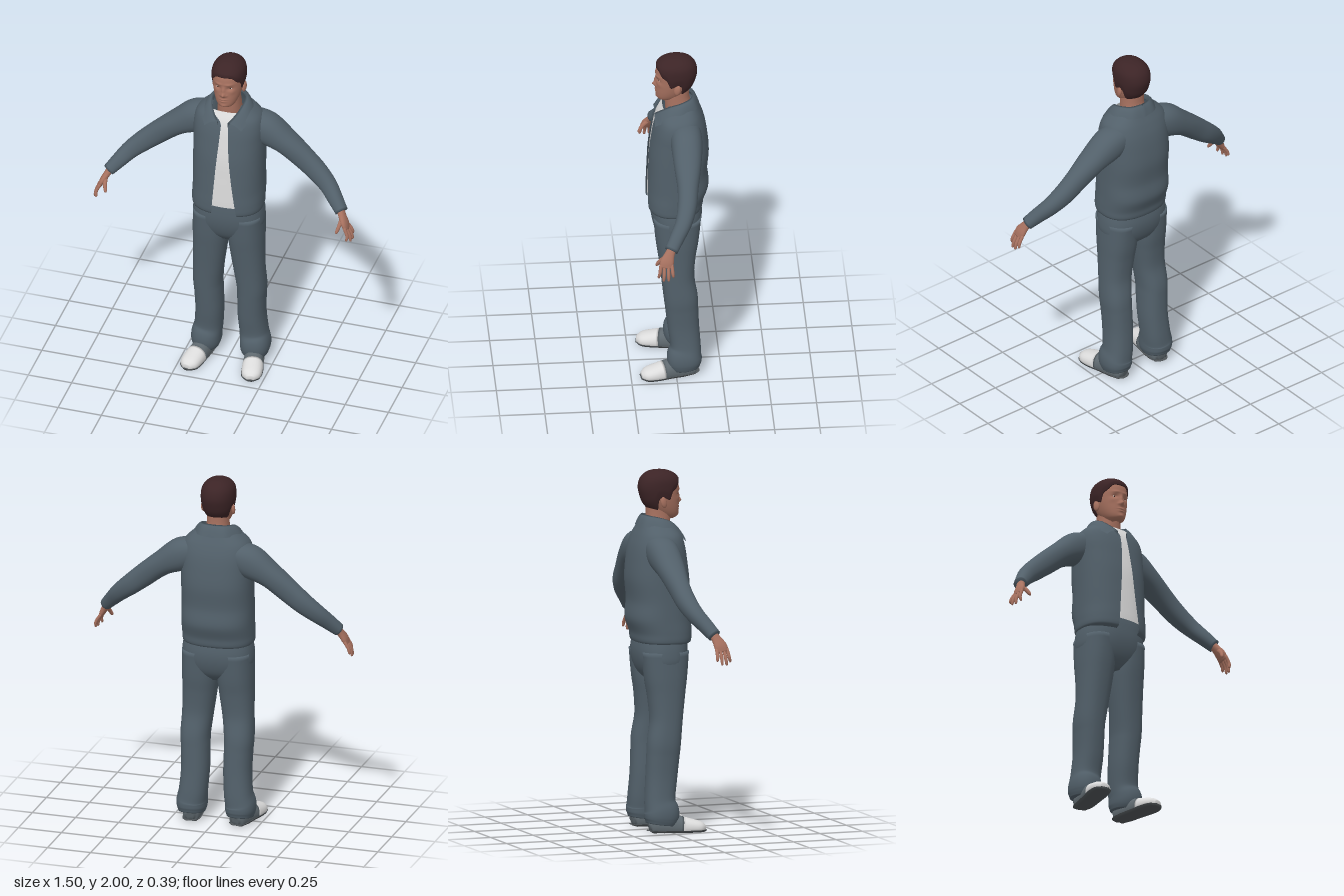
import * as THREE from 'three';

const mat = (name, color, side = THREE.FrontSide) => {
  const m = new THREE.MeshStandardMaterial({ color, side });
  m.name = name;
  return m;
};
const cloth = mat('slate cloth', 0x52606a, THREE.DoubleSide);
const white = mat('white fabric', 0xdcdcdc, THREE.DoubleSide);
const skin = mat('skin', 0xa87260);
const hairMat = mat('dark brown hair', 0x3c2426, THREE.DoubleSide);
const shoeGrey = mat('shoe grey', 0x606a70);
const soleMat = mat('sole grey', 0x505558);
const irisMat = mat('iris', 0x3a2a24);

// Smooth interpolation of rows [t, a, b, ...] at t
function at(keys, t) {
  const n = keys.length - 1;
  let i = 0;
  while (i < n - 1 && t > keys[i + 1][0]) i++;
  const p = keys[i], q = keys[i + 1], h = q[0] - p[0];
  const s = Math.min(1, Math.max(0, (t - p[0]) / h));
  const slope = (j, c) => {
    const a = keys[Math.max(0, j - 1)], b = keys[Math.min(n, j + 1)];
    return (b[c] - a[c]) / (b[0] - a[0]);
  };
  return p.slice(1).map((v, k) => {
    const c = k + 1, s2 = s * s, s3 = s2 * s;
    return v * (2 * s3 - 3 * s2 + 1) + q[c] * (3 * s2 - 2 * s3)
      + h * (slope(i, c) * (s3 - 2 * s2 + s) + slope(i + 1, c) * (s3 - s2));
  });
}

// Surface from f(u, v), u running around and v along
function grid(f, nu, nv, closed = true) {
  const pos = [], idx = [], cols = closed ? nu : nu + 1;
  for (let j = 0; j <= nv; j++) for (let i = 0; i < cols; i++) pos.push(...f(i / nu, j / nv, j));
  for (let j = 0; j < nv; j++) for (let i = 0; i < nu; i++) {
    const a = j * cols + i, b = j * cols + (i + 1) % cols;
    idx.push(a, b, b + cols, a, b + cols, a + cols);
  }
  const g = new THREE.BufferGeometry();
  g.setAttribute('position', new THREE.Float32BufferAttribute(pos, 3));
  g.setIndex(idx);
  g.computeVertexNormals();
  return g;
}

const pow = (v, e) => Math.sign(v) * Math.abs(v) ** e;
// Horizontal body outline from half width, front z and back z
const outline = (a, y, [w, zf, zb], e = 0.82) =>
  [w * pow(Math.sin(a), e), y, (zf + zb) / 2 + (zf - zb) / 2 * pow(Math.cos(a), e)];

// Capped tube through keys [x, y, z, radiusA, radiusB]; A leans towards ref
function limb(keys, { n = 24, per = 6, ref = [0, 0, 1], from = 0, to = keys.length - 1, e = 0.9, lo = -9, hi = 9 } = {}) {
  const k = keys.map((r, i) => [i, ...r]);
  const rows = Math.ceil((to - from) * per) + 2;
  return grid((u, v, j) => {
    const t = from + (to - from) * Math.min(1, Math.max(0, (j - 1) / (rows - 2)));
    const [x, y, z, ra, rb] = at(k, t);
    const p = new THREE.Vector3(...at(k, Math.max(0, t - 0.05)));
    const d = new THREE.Vector3(...at(k, Math.min(keys.length - 1, t + 0.05))).sub(p).normalize();
    const A = new THREE.Vector3(...ref).addScaledVector(d, -d.dot(new THREE.Vector3(...ref))).normalize();
    const B = d.clone().cross(A), cap = j === 0 || j === rows ? 0 : 1, a = u * Math.PI * 2;
    const c = new THREE.Vector3(x, y, z).addScaledVector(A, cap * ra * pow(Math.cos(a), e))
      .addScaledVector(B, cap * rb * pow(Math.sin(a), e));
    return [c.x, Math.min(hi, Math.max(lo, c.y)), c.z];
  }, n, rows);
}

// Torso outline by height
const TORSO = [[1.04, .18, .135, -.13], [1.05, .197, .152, -.152], [1.10, .201, .157, -.162], [1.18, .2, .155, -.188],
  [1.28, .199, .151, -.181], [1.4, .2, .145, -.19], [1.5, .2, .132, -.182], [1.58, .199, .118, -.168],
  [1.64, .183, .1, -.148], [1.68, .145, .077, -.13], [1.72, .095, .06, -.112]];
// Jacket opening: right and left edge x by height
const OPENING = [[1.04, -.055, .09], [1.3, -.035, .055], [1.6, -.012, .03], [1.64, -.02, .035], [1.68, -.07, .07], [1.72, -.08, .08]];

// Head outline by height
const HEAD = [[1.725, .02, .07, .02], [1.735, .04, .09, 0], [1.75, .054, .099, -.03], [1.78, .068, .102, -.065], [1.82, .079, .102, -.095],
  [1.86, .085, .101, -.11], [1.9, .087, .102, -.118], [1.94, .082, .094, -.11], [1.965, .066, .074, -.092],
  [1.98, .045, .047, -.068], [1.987, .026, .02, -.045], [1.99, .001, -.012, -.014]];
// Face relief: x, y, amount, x spread, y spread
const RELIEF = [[0, 1.823, .019, .011, .013], [0, 1.85, .01, .009, .02], [.017, 1.818, .004, .007, .007], [.034, 1.863, -.009, .016, .011],
  [.03, 1.889, .004, .022, .007], [0, 1.79, .005, .018, .005], [0, 1.777, .005, .016, .005], [0, 1.7835, -.003, .02, .002],
  [0, 1.748, .005, .018, .01], [.05, 1.84, .003, .014, .014]];
function headPoint(a, y) {
  const p = outline(a, y, at(HEAD, y), 0.92);
  if (Math.cos(a) > 0) for (const [x, h, amt, sx, sy] of RELIEF)
    p[2] += amt * Math.exp(-(((Math.abs(p[0]) - x) / sx) ** 2) - ((y - h) / sy) ** 2);
  return p;
}
const HAIRLINE = [[0, 1.932], [.5, 1.928], [.85, 1.9], [1.15, 1.88], [1.35, 1.838], [1.6, 1.85], [1.85, 1.845], [2.1, 1.795], [2.5, 1.772], [3.15, 1.765]];

export function createModel() {
  const model = new THREE.Group();
  const add = (name, geo, m, parent = model) => {
    const mesh = new THREE.Mesh(geo, m);
    mesh.name = name;
    parent.add(mesh);
    return mesh;
  };
  const TAU = Math.PI * 2;

  // Head, neck and hair
  add('head', grid((u, v) => headPoint(u * TAU, 1.725 + .265 * (v < .8 ? v : .8 + .2 * Math.sin((v - .8) * 2.5 * Math.PI))), 96, 80), skin);
  add('neck', limb([[0, 1.6, -.03, .07, .07], [0, 1.68, -.022, .072, .066], [0, 1.74, -.015, .068, .062], [0, 1.8, -.015, .068, .06]]), skin);
  add('hair', grid((u, v, j) => {
    const a = u * TAU, low = at(HAIRLINE, Math.min(a, TAU - a))[0];
    const t = Math.max(0, (j - 1) / 29), y = low + (1.99 - low) * Math.sin(t * Math.PI / 2);
    const p = outline(a, y, at(HEAD, y), 0.92), s = j === 0 ? 0.96 : 1.085 - .05 * (1 - Math.min(1, t * 6));
    return [p[0] * s, 1.87 + (p[1] - 1.87) * (j === 0 ? 1 : s), -.005 + (p[2] + .005) * s];
  }, 72, 30), hairMat);

  // Shirt front
  add('shirt', grid((u, v) => {
    const y = 1.1 + .585 * v, [w, zf, zb] = at(TORSO, y);
    return outline((u - .5) * 1.7, y, [w - .01, zf - .009, zb]);
  }, 24, 30, false), white);

  // Open jacket body
  add('jacketBody', grid((u, v) => {
    const y = 1.04 + .68 * v, s = at(TORSO, y), [xr, xl] = at(OPENING, y);
    const angle = x => Math.asin(pow(Math.min(1, Math.abs(x) / s[0]), 1 / .82));
    const a0 = angle(xl), a1 = TAU - angle(xr);
    return outline(a0 + (a1 - a0) * u, y, s);
  }, 64, 68, false), cloth);

  // Folded collar: top line and outer line from the nape to the front tip
  const TOP = [[0, 0, 1.757, -.105], [1, .06, 1.752, -.085], [2, .089, 1.74, -.03], [3, .084, 1.718, .03], [4, .058, 1.68, .08], [5, .028, 1.645, .109]];
  const RIM = [[0, 0, 1.69, -.138], [1, .08, 1.692, -.118], [2, .13, 1.69, -.045], [3, .137, 1.675, .02], [4, .132, 1.64, .07], [5, .106, 1.605, .112]];
  add('collar', grid((u, v, j) => {
    const t = (u - .5) * 10, sgn = t < 0 ? -1 : 1, top = at(TOP, Math.abs(t)), rim = at(RIM, Math.abs(t));
    const k = Math.max(0, (j - 1) / 5), drop = j === 0 ? .03 : 0;
    const p = top.map((c, i) => c + (rim[i] - c) * k);
    return [sgn * p[0], p[1] - drop + .01 * Math.sin(k * Math.PI), p[2]];
  }, 60, 6, false), cloth);

  // Trouser seat
  const SEAT = [[.83, .09, .06, -.07], [.87, .165, .095, -.115], [.93, .198, .12, -.142], [1.0, .2, .132, -.152], [1.08, .188, .13, -.142], [1.12, .18, .125, -.135]];
  add('trouserSeat', grid((u, v, j) => {
    const y = .83 + .29 * Math.max(0, (j - 1) / 20), s = at(SEAT, y);
    return outline(u * TAU, y, j === 0 ? [0, 0, -.01] : s);
  }, 48, 21), cloth);

  // Paired parts, built on the left and mirrored
  const ARM = [[.1, 1.585, -.05, .085, .07], [.2, 1.545, -.055, .087, .092], [.31, 1.48, -.052, .076, .07], [.42, 1.392, -.046, .058, .064],
    [.5, 1.325, -.035, .053, .058], [.57, 1.265, -.01, .046, .05], [.625, 1.208, .03, .041, .042], [.672, 1.157, .065, .037, .034]];
  const LEG = [[.14, .045, -.052, .082, .072], [.14, .075, -.048, .094, .081], [.14, .115, -.046, .096, .083], [.13, .18, -.053, .084, .078], [.122, .3, -.042, .087, .077],
    [.124, .42, -.033, .091, .078], [.126, .5, -.027, .093, .081], [.117, .62, -.012, .09, .086], [.107, .75, -.008, .103, .094],
    [.101, .86, -.009, .119, .1], [.1, 1.0, -.01, .132, .098]];
  const SHOE = [[.13, .03, -.118, .02, .018], [.133, .035, -.1, .05, .042], [.14, .035, -.04, .065, .051], [.155, .03, .04, .062, .054],
    [.17, .025, .11, .048, .058], [.18, .02, .165, .036, .05], [.185, .017, .194, .018, .022]];
  const PALM = [[.658, 1.172, .056, .024, .021], [.678, 1.138, .074, .028, .019], [.698, 1.102, .09, .038, .017], [.712, 1.07, .096, .034, .011]];
  const FINGERS = [[.064, .735, 1.022, .058], [.084, .741, 1.002, .084], [.105, .737, 1.0, .111], [.124, .722, 1.014, .137]];
  const up = [0, 1, 0];

  for (const side of [1, -1]) {
    const half = new THREE.Group();
    half.name = side > 0 ? 'leftLimbs' : 'rightLimbs';
    half.scale.x = side;
    model.add(half);
    add('sleeve', limb(ARM, { n: 28 }), cloth, half);
    add('trouserLeg', limb(LEG, { n: 32, e: .85 }), cloth, half);

    // Shoe in two colours on a thin sole
    add('shoeHeel', limb(SHOE, { ref: up, to: 3.4, lo: .008 }), shoeGrey, half);
    add('shoeToe', limb(SHOE, { ref: up, from: 3.4, lo: .008 }), white, half);
    add('shoeSole', limb(SHOE.map(([x, y, z, a, b]) => [x, y, z * 1.02, a, b * 1.04]), { ref: up, lo: 0, hi: .012 }), soleMat, half);

    // Hand
    add('palm', limb(PALM, { n: 20 }), skin, half);
    for (const [z, x1, y1, z1] of FINGERS) add('finger', limb([[.704, 1.09, z, .009, .009],
      [(.708 + x1) / 2 + .008, (1.08 + y1) / 2, (z + z1) / 2, .0095, .009], [x1, y1 + .008, z1, .0075, .007], [x1, y1, z1, .003, .003]], { n: 10, per: 4 }), skin, half);
    add('thumb', limb([[.682, 1.13, .085, .013, .013], [.676, 1.1, .122, .012, .011], [.667, 1.07, .143, .009, .009], [.664, 1.06, .148, .003, .003]], { n: 10, per: 4 }), skin, half);

    // Ear and eye
    const ear = add('ear', new THREE.SphereGeometry(1, 16, 12), skin, half);
    ear.position.set(.086, 1.825, -.012);
    ear.scale.set(.011, .032, .019);
    ear.rotation.set(-.2, -.3, 0);
    const [ex, ey, ez] = headPoint(.4, 1.862);
    for (const [name, m, r, dz] of [['eye', white, .010, 0], ['iris', irisMat, .0042, .0018]]) {
      const eye = add(name, new THREE.SphereGeometry(1, 14, 10), m, half);
      eye.position.set(ex, ey, ez + dz - .001);
      eye.scale.set(r, .0036, .003);
    }
  }
  return model;
}
